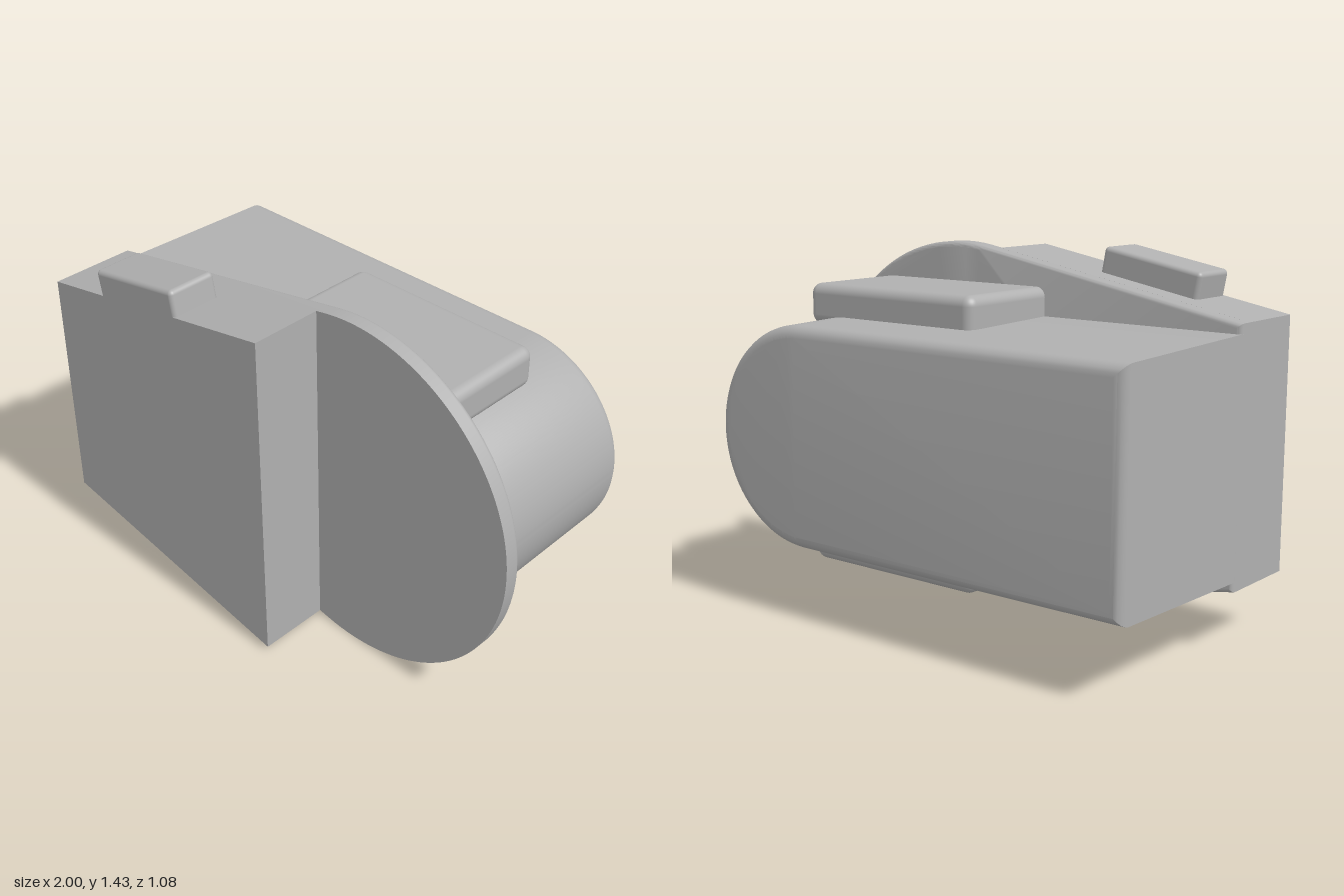
import * as THREE from 'three';
import { toCreasedNormals } from 'three/addons/utils/BufferGeometryUtils.js';
import { RoundedBoxGeometry } from 'three/addons/geometries/RoundedBoxGeometry.js';

const MID_Y = 0.715;            // height of the symmetry plane
const TILT = Math.atan(0.187);  // slope of the tapering sides

// Straight left edge, two sides tilted by `tilt`, and a round right end.
function teardrop(cx, radius, tilt) {
  const s = new THREE.Shape();
  const tx = cx - radius * Math.sin(tilt);
  const ty = radius * Math.cos(tilt);
  const endY = ty - (tx + 1) * Math.tan(tilt);
  s.moveTo(-1, -endY);
  s.lineTo(tx, -ty);
  s.absarc(cx, 0, radius, -Math.PI / 2 - tilt, Math.PI / 2 + tilt, false);
  s.lineTo(-1, endY);
  s.closePath();
  return s;
}

// Extrude from z0 to z1, keeping the outline size; bevel rounds both ends.
function slab(shape, z0, z1, bevel = 0) {
  const g = new THREE.ExtrudeGeometry(shape, {
    depth: z1 - z0 - 2 * bevel,
    bevelEnabled: bevel > 0,
    bevelThickness: bevel,
    bevelSize: bevel,
    bevelOffset: -bevel,
    bevelSegments: 5,
    curveSegments: 72,
  });
  return g.translate(0, 0, z0 + bevel);
}

export function createModel() {
  const group = new THREE.Group();
  const grey = new THREE.MeshStandardMaterial({ color: 0xb0b0b0 });
  grey.name = 'plain grey';

  const add = (name, geometry, x = 0, y = 0, z = 0) => {
    const mesh = new THREE.Mesh(geometry, grey);
    mesh.name = name;
    mesh.position.set(x, y, z);
    group.add(mesh);
    return mesh;
  };

  // Flange: crisp front plate over a plate with a rounded back edge
  const outline = teardrop(0.286, 0.714, TILT);
  add('flange', toCreasedNormals(slab(outline, 0.2, 0.25), 0.5), 0, MID_Y);
  add('flangeBackEdge', toCreasedNormals(slab(outline, 0.18, 0.23, 0.02), 0.5), 0, MID_Y);

  // Front block: tapered left part of the outline
  const halfL = 0.486, halfR = 0.694;
  const block = new THREE.Shape([
    new THREE.Vector2(-1, -halfL),
    new THREE.Vector2(0.112, -halfR),
    new THREE.Vector2(0.112, halfR),
    new THREE.Vector2(-1, halfL),
  ]);
  add('frontBlock', slab(block, 0.24, 0.538), 0, MID_Y);

  // Rear housing: rounded back rim, slightly lower towards the back
  const housing = slab(teardrop(0.472, 0.43, 0), -0.54, 0.24, 0.045);
  const p = housing.attributes.position;
  for (let i = 0; i < p.count; i++) {
    p.setY(i, p.getY(i) * (1 + 0.06 * (p.getZ(i) + 0.54)));
  }
  add('rearHousing', toCreasedNormals(housing, 0.5), 0, MID_Y);

  // Pads above and below the housing
  for (const side of [1, -1]) {
    add(side > 0 ? 'upperPad' : 'lowerPad',
      new RoundedBoxGeometry(0.824, 0.16, 0.5, 5, 0.04), 0.26, MID_Y + side * 0.48, -0.015);
  }

  // Small tab on the sloping top of the front block
  const tab = add('topTab', new RoundedBoxGeometry(0.434, 0.2, 0.204, 4, 0.018), -0.513, 1.292, 0.436);
  tab.rotation.z = TILT;

  return group;
}
